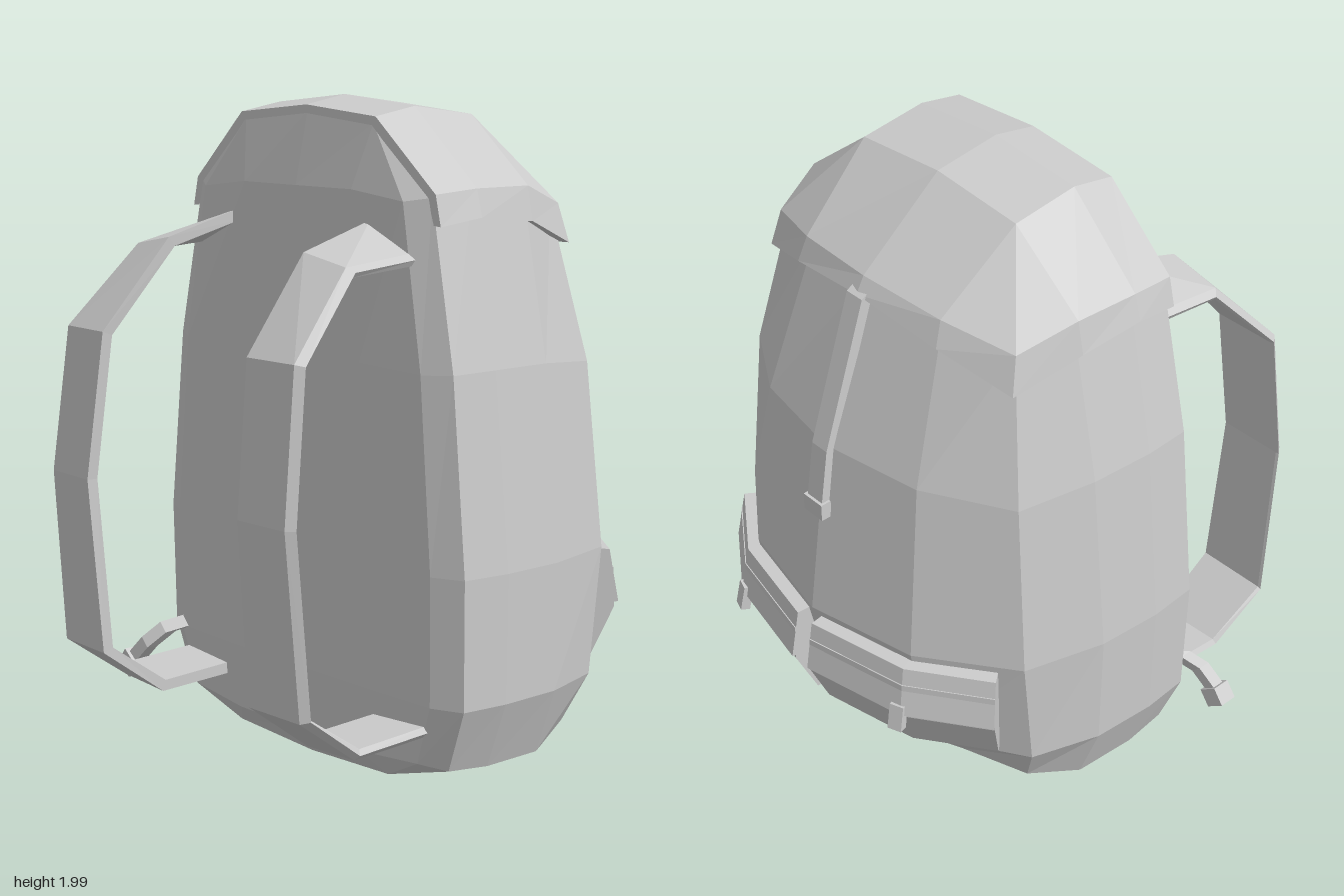
import * as THREE from 'three';

const CX = 0.015; // the bag sits slightly off centre because of the loose strap
const material = new THREE.MeshStandardMaterial({ color: 0xcccccc, flatShading: true, side: THREE.DoubleSide });

function mesh(name, geometry) {
  const m = new THREE.Mesh(geometry, material);
  m.name = name;
  return m;
}

// Skin a list of cross-sections; each is a list of [x, y, z]
function loft(rows, closed = true, capped = false) {
  const pos = [];
  const n = rows[0].length;
  const tri = (...p) => p.forEach((q) => pos.push(...q));
  for (let i = 0; i + 1 < rows.length; i++) {
    for (let j = 0; j < (closed ? n : n - 1); j++) {
      const k = (j + 1) % n;
      tri(rows[i][j], rows[i][k], rows[i + 1][k]);
      tri(rows[i][j], rows[i + 1][k], rows[i + 1][j]);
    }
  }
  if (capped) {
    const a = rows[0], b = rows[rows.length - 1];
    for (let j = 1; j + 1 < n; j++) {
      tri(a[0], a[j + 1], a[j]);
      tri(b[0], b[j], b[j + 1]);
    }
  }
  const g = new THREE.BufferGeometry();
  g.setAttribute('position', new THREE.Float32BufferAttribute(pos, 3));
  g.computeVertexNormals();
  return g;
}

// Nine points from front centre round to back centre, mirrored to a full ring of 16
const mirrorRing = (half) => [...half, ...half.slice(1, 8).reverse().map(([x, y, z]) => [-x, y, z])];

// Horizontal section: half width, front z, back z, back corner z, corner lift
function ring(y, w, zf, zb, zc, dy = 0) {
  return mirrorRing([
    [0, y, zf], [w * 0.46, y, zf - 0.002], [w * 0.85, y + dy * 0.4, zf - 0.012],
    [w * 0.985, y + dy * 0.2, zf - 0.055], [w, y, 0.05], [w * 0.98, y, -0.155],
    [w * 0.88, y + dy, zc], [w * 0.5, y + dy * 0.3, zb * 0.72 + zc * 0.28], [0, y, zb],
  ]);
}

// Small ring closing the top or bottom; the corner points collapse together
function capRing(x, y, drop, zf, zb) {
  const f = [x, y - drop, zf], b = [x, y - drop, zb];
  return mirrorRing([[0, y, zf], f, f, f, [x, y, 0.06], b, b, b, [0, y, zb]]);
}
const point = (y) => Array.from({ length: 16 }, () => [0, y, 0.06]);

function makeBody() {
  return mesh('bagBody', loft([
    point(0.008), capRing(0.36, 0.02, -0.015, 0.19, -0.155),
    ring(0.1, 0.635, 0.245, -0.39, -0.32, 0.05),
    ring(0.3, 0.71, 0.255, -0.6, -0.365),
    ring(0.68, 0.715, 0.26, -0.68, -0.405),
    ring(1.25, 0.655, 0.255, -0.6, -0.385, -0.02),
    ring(1.74, 0.55, 0.245, -0.415, -0.315, -0.06),
    capRing(0.3, 1.955, 0.03, 0.2, -0.15), point(1.975),
  ]));
}

function makeLid() {
  const lid = new THREE.Group();
  lid.name = 'lid';
  const rimY = [1.65, 1.67, 1.65, 1.575, 1.655, 1.7];
  const rim = ring(1.66, 0.592, 0.25, -0.462, -0.358).map((p, i) => {
    const k = i > 8 ? 16 - i : i;
    return [p[0], k >= 3 ? rimY[k - 3] : p[1], p[2]];
  });
  const shoulder = ring(1.75, 0.57, 0.25, -0.435, -0.33, -0.06);
  const top = capRing(0.315, 1.972, 0.027, 0.205, -0.158);
  const sides = [rim, shoulder, top].map((r) => r.slice(3, 14));
  lid.add(mesh('lidSides', loft(sides, false)));
  lid.add(mesh('lidTop', loft([top, point(2)])));
  // Thickness along the whole open edge
  const edge = [...sides[0], shoulder[13], top[13], top[0], top[3], shoulder[3]];
  const inner = edge.map(([x, y, z]) => [x * 0.95, y > 1.72 ? y - 0.025 : y + 0.002, z < 0 ? z * 0.94 : z]);
  lid.add(mesh('lidEdge', loft([inner, edge])));
  return lid;
}

// Back corner pocket, swept round the corner; s mirrors it
function makePocket(s) {
  const pocket = new THREE.Group();
  pocket.name = s > 0 ? 'leftPocket' : 'rightPocket';
  const stations = [[0.035, -0.735, 0.1, -0.99], [0.375, -0.662, 0.42, -0.91], [0.605, -0.5, 0.62, -0.78]];
  const sweep = (profile) => loft(stations.map(([x, z, nx, nz]) =>
    profile.map(([d, y]) => [s * (x + nx * d), y, z + nz * d])), true, true);
  pocket.add(mesh('pocketPouch', sweep([[-0.16, 0.6], [-0.012, 0.6], [-0.008, 0.48], [-0.08, 0.325], [-0.16, 0.325]])));
  pocket.add(mesh('pocketFlap', sweep([[-0.15, 0.66], [-0.025, 0.655], [0.004, 0.495], [-0.02, 0.49], [-0.15, 0.5]])));
  const buckle = mesh('pocketBuckle', new THREE.BoxGeometry(0.045, 0.085, 0.03));
  buckle.position.set(s * 0.365, 0.485, -0.665);
  buckle.rotation.set(0.2, -s * 0.35, 0, 'YXZ');
  pocket.add(buckle);
  return pocket;
}

// Padded shoulder strap: z, y at inner edge, y at outer edge, inner x, outer x
function makeShoulderStrap(s) {
  const path = [
    [0.22, 1.655, 1.575, 0.31, 0.515], [0.47, 1.58, 1.55, 0.325, 0.52],
    [0.69, 1.31, 1.31, 0.355, 0.575], [0.74, 0.87, 0.87, 0.375, 0.595],
    [0.7, 0.335, 0.335, 0.365, 0.605], [0.49, 0.18, 0.19, 0.36, 0.59],
    [0.22, 0.195, 0.205, 0.36, 0.585],
  ];
  const t = 0.035;
  const rows = path.map(([z, yi, yo, xi, xo], i) => {
    const a = path[Math.max(i - 1, 0)], b = path[Math.min(i + 1, path.length - 1)];
    const dz = b[0] - a[0], dy = b[1] - a[1], l = Math.hypot(dz, dy);
    const nz = (dy / l) * t, ny = (-dz / l) * t; // towards the back panel
    const tuck = i > 0 && i < 5 ? 0.015 : 0;
    return [
      [s * xi, yi, z], [s * (xo - 0.02), yo, z - tuck * 0.5], [s * xo, yo + ny * 0.5, z - tuck + nz * 0.5],
      [s * (xo - 0.01), yo + ny, z + nz], [s * xi, yi + ny, z + nz],
    ];
  });
  return mesh(s > 0 ? 'leftShoulderStrap' : 'rightShoulderStrap', loft(rows, true, true));
}

// Strap running from the lid down the back, with an end clip
function makeLidStrap() {
  const g = new THREE.Group();
  g.name = 'lidStrap';
  const path = [[1.72, -0.425], [1.7, -0.458], [1.25, -0.608], [1.04, -0.64]];
  g.add(mesh('lidStrapBand', loft(path.map(([y, z]) => [
    [-0.032, y, z - 0.012], [0.032, y, z - 0.012], [0.032, y, z + 0.025], [-0.032, y, z + 0.025],
  ]), true, true)));
  const clip = mesh('lidStrapClip', new THREE.BoxGeometry(0.08, 0.055, 0.035));
  clip.position.set(0, 1.05, -0.638);
  g.add(clip);
  return g;
}

// Loose webbing with a buckle hanging at the lower right
function makeLooseStrap() {
  const g = new THREE.Group();
  g.name = 'looseStrap';
  const path = [[-0.57, 0.32, 0.22], [-0.605, 0.3, 0.29], [-0.645, 0.25, 0.335], [-0.7, 0.19, 0.35]];
  g.add(mesh('looseStrapBand', loft(path.map(([x, y, z]) => [
    [x - 0.015, y + 0.015, z - 0.02], [x - 0.015, y + 0.015, z + 0.02],
    [x + 0.015, y - 0.015, z + 0.02], [x + 0.015, y - 0.015, z - 0.02],
  ]), true, true)));
  const buckle = mesh('looseStrapBuckle', new THREE.BoxGeometry(0.07, 0.06, 0.06));
  buckle.position.set(-0.712, 0.172, 0.35);
  buckle.rotation.z = -0.65;
  g.add(buckle);
  return g;
}

export function createModel() {
  const model = new THREE.Group();
  model.name = 'backpack';
  const bag = new THREE.Group();
  bag.name = 'bag';
  bag.position.x = CX;
  bag.add(makeBody(), makeLid(), makeLidStrap());
  for (const s of [1, -1]) bag.add(makePocket(s), makeShoulderStrap(s));
  model.add(bag, makeLooseStrap());
  return model;
}
